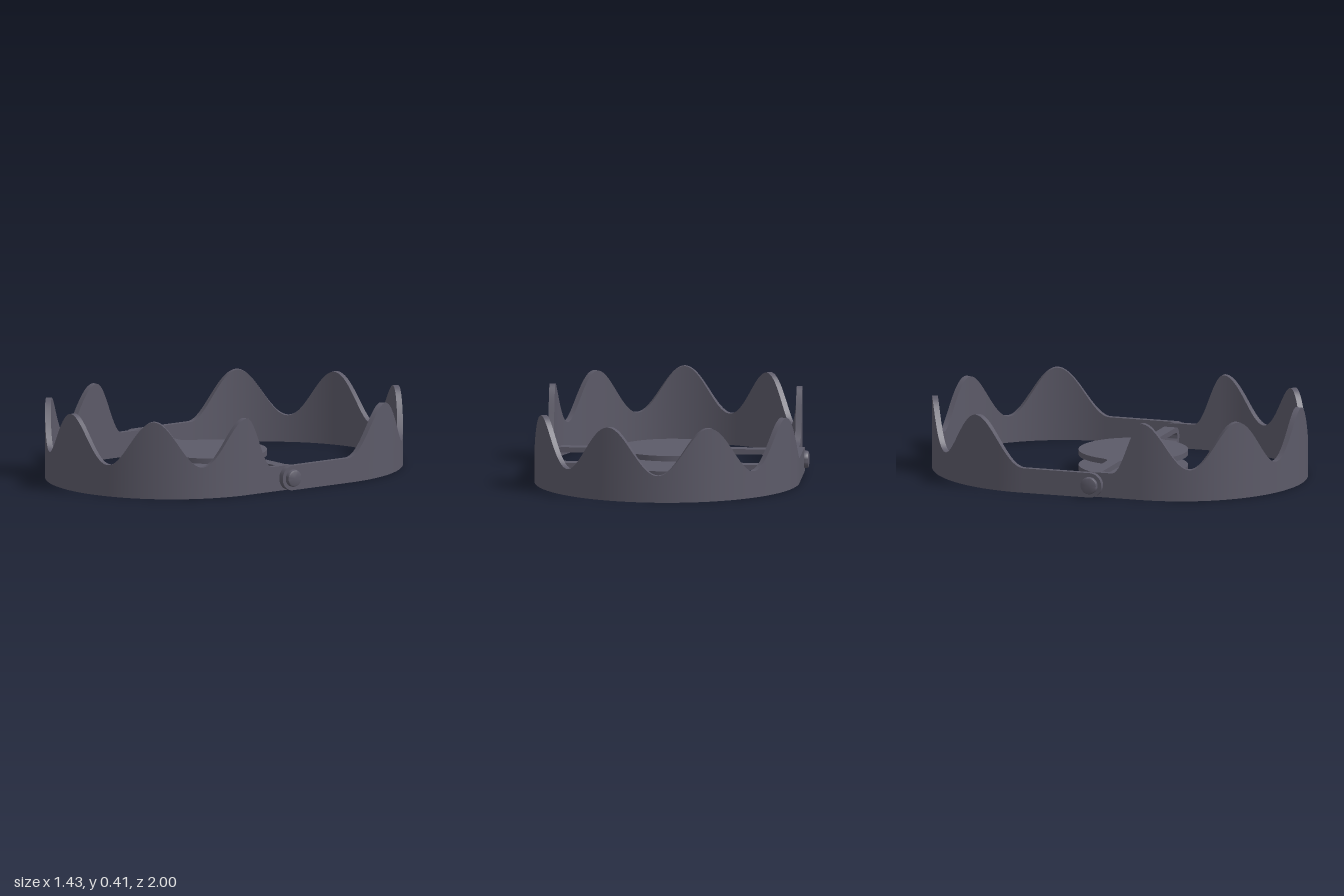
import * as THREE from 'three';
import { toCreasedNormals } from 'three/addons/utils/BufferGeometryUtils.js';

const PIVOT_Z = 0.07, PIVOT_Y = 0.065; // hinge axis; also the radius of the jaw ends

// Eases from 1 at k = 0 down to 0 at k = 1
const ease = (k) => (1 + Math.cos(Math.PI * Math.min(Math.max(k, 0), 1))) / 2;

// Top edge of each jaw, by angle in degrees from the middle of the bow
const frontTeeth = (d) => d < 89
  ? 0.285 + 0.12 * Math.cos((2 * Math.PI * d) / 44.5)
  : 0.13 + 0.275 * ease((d - 89) / 14.5);
const backTeeth = (d) => d < 67.5
  ? 0.2625 - 0.1225 * Math.cos((2 * Math.PI * d) / 45)
  : 0.13 + 0.255 * ease((d - 67.5) / 24);

// U-shaped toothed band opening toward -z, with rounded hinge ends
function jawGeometry(radius, centerZ, pivotZ, teeth) {
  const thickness = 0.03, mid = radius - thickness / 2;
  const quarter = mid * Math.PI / 2;
  const reach = quarter + centerZ - pivotZ;
  const stations = [];
  const N = 240, E = 10;
  for (let i = E; i > 0; i--) stations.push(-reach - PIVOT_Y * Math.sin((i / E) * Math.PI / 2));
  for (let i = 0; i <= N; i++) stations.push(-reach + (2 * reach * i) / N);
  for (let i = 1; i <= E; i++) stations.push(reach + PIVOT_Y * Math.sin((i / E) * Math.PI / 2));

  const pos = [], index = [];
  stations.forEach((s, i) => {
    const t = Math.abs(s);
    let top = teeth(THREE.MathUtils.radToDeg(t / mid)), bottom = 0;
    if (t > reach) {
      const half = Math.sqrt(Math.max(0, PIVOT_Y ** 2 - (t - reach) ** 2));
      top = PIVOT_Y + half;
      bottom = PIVOT_Y - half;
    }
    const a = Math.min(t, quarter) / mid * Math.sign(s);
    const run = Math.max(0, t - quarter);
    const put = (r, y) => pos.push(r * Math.sin(a), y, centerZ + r * Math.cos(a) - run);
    put(radius, bottom);
    put(radius, top);
    put(radius - thickness, top);
    put(radius - thickness, bottom);
    if (i === 0) return;
    for (let k = 0; k < 4; k++) {
      const p = (i - 1) * 4, q = i * 4, n = (k + 1) % 4;
      index.push(p + k, q + k, q + n, p + k, q + n, p + n);
    }
  });
  const g = new THREE.BufferGeometry();
  g.setAttribute('position', new THREE.Float32BufferAttribute(pos, 3));
  g.setIndex(index);
  return toCreasedNormals(g, 0.6);
}

// Round pad with a narrow arm on each side, blended by small fillets
function padShape(r, arm, armX) {
  const a = 0.35, c = r * Math.cos(a), s = r * Math.sin(a);
  const shape = new THREE.Shape();
  shape.moveTo(c, s);
  shape.absarc(0, 0, r, a, Math.PI - a, false);
  shape.quadraticCurveTo(-0.285, arm, -0.325, arm);
  shape.lineTo(-armX, arm);
  shape.lineTo(-armX, -arm);
  shape.lineTo(-0.325, -arm);
  shape.quadraticCurveTo(-0.285, -arm, -c, -s);
  shape.absarc(0, 0, r, Math.PI + a, 2 * Math.PI - a, false);
  shape.quadraticCurveTo(0.285, -arm, 0.325, -arm);
  shape.lineTo(armX, -arm);
  shape.lineTo(armX, arm);
  shape.lineTo(0.325, arm);
  shape.quadraticCurveTo(0.285, arm, c, s);
  return shape;
}

export function createModel() {
  const model = new THREE.Group();
  model.name = 'jawTrap';
  const steel = new THREE.MeshStandardMaterial({ color: 0x5c5a68 });
  steel.name = 'darkSteel';
  const add = (name, geometry, x = 0, y = 0, z = 0) => {
    const mesh = new THREE.Mesh(geometry, steel);
    mesh.name = name;
    mesh.position.set(x, y, z);
    model.add(mesh);
    return mesh;
  };

  // Jaws: the back one is wider and overlaps the front one at the hinges
  add('frontJaw', jawGeometry(0.66, 0.335, PIVOT_Z, frontTeeth));
  add('backJaw', jawGeometry(0.69, 0.31, -PIVOT_Z, backTeeth)).rotation.y = Math.PI;

  // Trigger: two stacked pads whose arms join in a rounded loop at each end
  const arm = 0.033, strip = 0.028, loopR = 0.055, armX = 0.575;
  const pad = toCreasedNormals(new THREE.ExtrudeGeometry(padShape(0.285, arm, armX),
    { depth: strip, bevelEnabled: false, curveSegments: 32 }), 0.6);
  pad.rotateX(-Math.PI / 2);
  add('lowerPad', pad, 0, PIVOT_Y - loopR, PIVOT_Z);
  add('upperPad', pad, 0, PIVOT_Y + loopR - strip, PIVOT_Z);

  const bend = new THREE.Shape();
  bend.absarc(0, 0, loopR, -Math.PI / 2, Math.PI / 2, false);
  bend.absarc(0, 0, loopR - strip, Math.PI / 2, -Math.PI / 2, true);
  const bendGeometry = toCreasedNormals(new THREE.ExtrudeGeometry(bend,
    { depth: arm * 2, bevelEnabled: false, curveSegments: 16 }), 0.6);
  bendGeometry.translate(0, 0, -arm);

  // Hinge pin with a softly rounded head
  const profile = [[0, -0.08], [0.025, -0.08], [0.025, 0], [0.045, 0], [0.045, 0.014],
    [0.042, 0.02], [0.035, 0.023], [0, 0.023]].map(([r, y]) => new THREE.Vector2(r, y));
  const pinGeometry = toCreasedNormals(new THREE.LatheGeometry(profile, 32), 0.6);
  pinGeometry.rotateZ(-Math.PI / 2);

  for (const side of [1, -1]) {
    const label = side > 0 ? 'left' : 'right';
    const turn = side > 0 ? 0 : Math.PI;
    add(label + 'ArmBend', bendGeometry, side * armX, PIVOT_Y, PIVOT_Z).rotation.y = turn;
    add(label + 'HingePin', pinGeometry, side * 0.69, PIVOT_Y, PIVOT_Z).rotation.y = turn;
  }
  return model;
}
